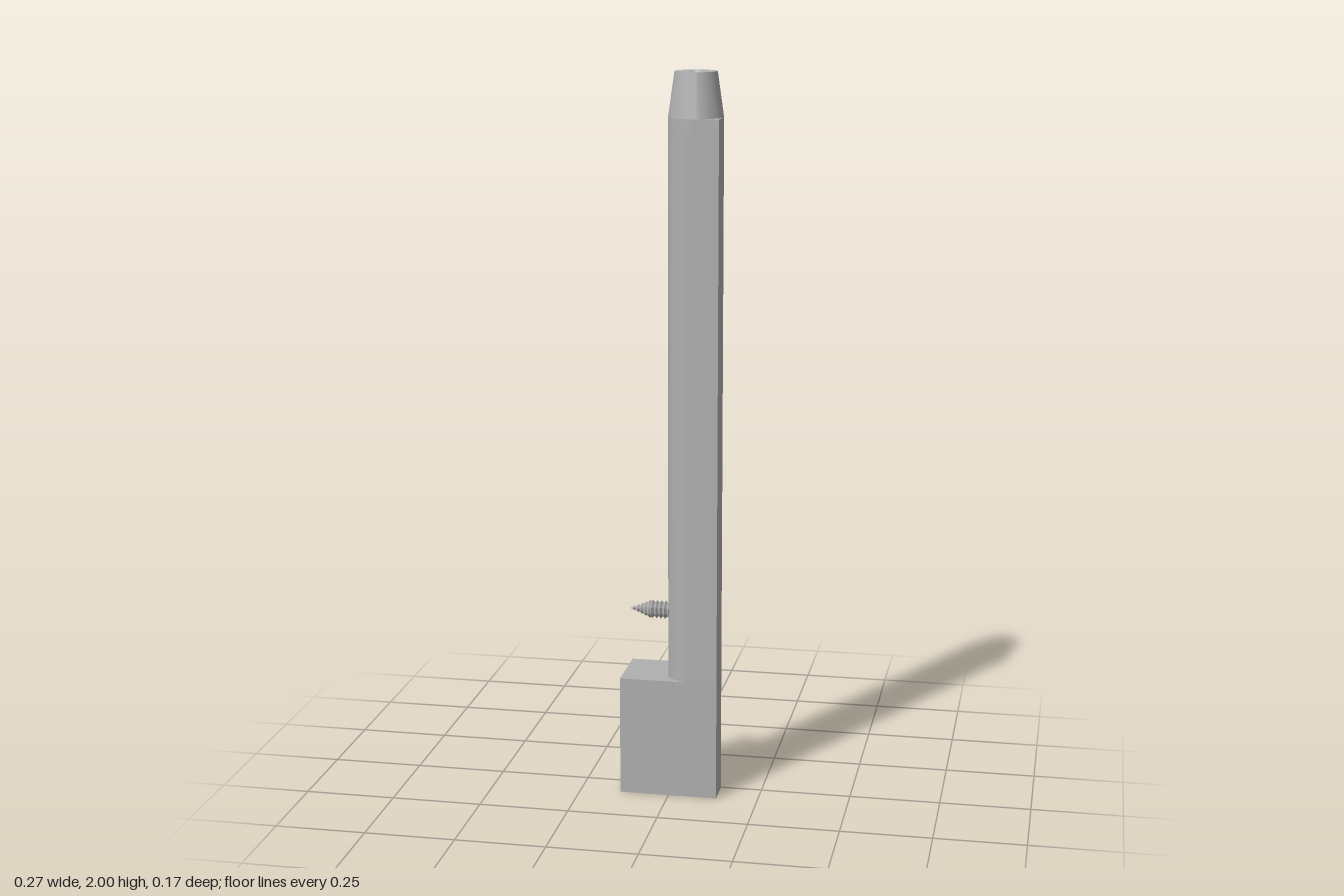
import * as THREE from 'three';
import { toCreasedNormals } from 'three/addons/utils/BufferGeometryUtils.js';

const CX = 0.061, CZ = 0.012, R = 0.074; // column axis and radius
const BASE_H = 0.335, NECK = 1.88;

export function createModel() {
  const model = new THREE.Group();
  const grey = new THREE.MeshStandardMaterial({ color: 0xb0b0b0 });
  grey.name = 'plain grey';

  const add = (name, geometry, parent = model) => {
    const mesh = new THREE.Mesh(geometry, grey);
    mesh.name = name;
    parent.add(mesh);
    return mesh;
  };

  // Upright extrusion: plan is drawn as (x, -z) and raised from y0 to y1
  const raise = (outline, holes, y0, y1) => {
    const shape = new THREE.Shape();
    outline(shape);
    for (const [x, z, r] of holes) {
      shape.holes.push(new THREE.Path().absarc(x, -z, r, 0, Math.PI * 2, true));
    }
    const g = new THREE.ExtrudeGeometry(shape, { depth: y1 - y0, bevelEnabled: false, curveSegments: 40 });
    g.rotateX(-Math.PI / 2).translate(0, y0, 0);
    return toCreasedNormals(g, 0.5);
  };

  // Round column with one square corner at the front left
  const columnPlan = (s) => {
    s.moveTo(CX + R, -CZ);
    s.absarc(CX, -CZ, R, 0, Math.PI * 1.5, false);
    s.lineTo(CX + R, -CZ - R);
  };
  // Base block merging into the column, with a chamfer behind
  const basePlan = (s) => {
    s.moveTo(CX + R, -CZ);
    s.absarc(CX, -CZ, R, 0, Math.PI / 2, false);
    s.lineTo(0.01, 0.088);
    s.lineTo(-0.127, 0.088);
    s.lineTo(-0.127, -CZ - R);
    s.lineTo(CX + R, -CZ - R);
  };
  const bore = [CX, CZ, 0.053];
  const sideBore = [-0.07, 0, 0.052];

  add('base', raise(basePlan, [bore, sideBore], 0, BASE_H - 0.02));
  add('baseTop', raise(basePlan, [bore], BASE_H - 0.02, BASE_H));
  add('column', raise(columnPlan, [bore], BASE_H, NECK - 0.03));
  add('columnTop', raise(columnPlan, [], NECK - 0.03, NECK));

  // Tapered nose with a conical pit
  const nose = [[R, NECK], [0.057, 2], [0.021, 2], [0, 1.96]].map(([x, y]) => new THREE.Vector2(x, y));
  const noseGeometry = toCreasedNormals(new THREE.LatheGeometry(nose, 48), 0.5);
  add('nose', noseGeometry.translate(CX, 0, CZ));

  // Slotted plate on the right side of the base
  const rect = (path, z0, z1, y0, y1) => {
    path.moveTo(z0, y0);
    path.lineTo(z1, y0);
    path.lineTo(z1, y1);
    path.lineTo(z0, y1);
    path.closePath();
    return path;
  };
  const plate = rect(new THREE.Shape(), -0.088, 0.086, 0, BASE_H);
  const slots = [[-0.06, -0.012], [0.015, 0.055]];
  for (const [z0, z1] of slots) plate.holes.push(rect(new THREE.Path(), z0, z1, 0.02, 0.315));
  const plateGeometry = new THREE.ExtrudeGeometry(plate, { depth: 0.01, bevelEnabled: false });
  add('slottedPlate', plateGeometry.rotateY(-Math.PI / 2).translate(-0.127, 0, 0));
  for (const [z0, z1] of slots) {
    const bar = new THREE.BoxGeometry(0.009, 0.24, 0.016);
    add('slotBar', bar.translate(-0.1315, 0.165, (z0 + z1) / 2));
  }

  // Pointed screw sticking out to the right
  const screw = [[0, 0]];
  for (let i = 1; i <= 5; i++) {
    const r = 0.0045 * i;
    screw.push([r + 0.002, i * 0.011], [r - 0.001, i * 0.011 + 0.004]);
  }
  for (let i = 0; i < 7; i++) {
    screw.push([0.025, 0.063 + i * 0.012], [0.018, 0.069 + i * 0.012]);
  }
  const screwProfile = screw.map(([r, y]) => new THREE.Vector2(r, y));
  const screwGeometry = toCreasedNormals(new THREE.LatheGeometry(screwProfile, 28), 0.5);
  screwGeometry.rotateZ(-Math.PI / 2).translate(-0.12, 0.52, 0.017);
  add('screw', screwGeometry);

  // Fifteen raised scale marks up the back; the upper ones are double
  const marks = new THREE.Group();
  marks.name = 'scaleMarks';
  model.add(marks);
  const mark = (y, h) => {
    const g = new THREE.BoxGeometry(0.036, h, 0.024);
    add('scaleMark', g.translate(0.079, y, -0.062), marks);
  };
  for (let i = 0; i < 15; i++) {
    const y = 0.028 + i * 0.1238;
    if (i < 10) {
      mark(y, 0.022);
    } else {
      mark(y + 0.013, 0.016);
      mark(y - 0.013, 0.016);
    }
  }
  return model;
}
